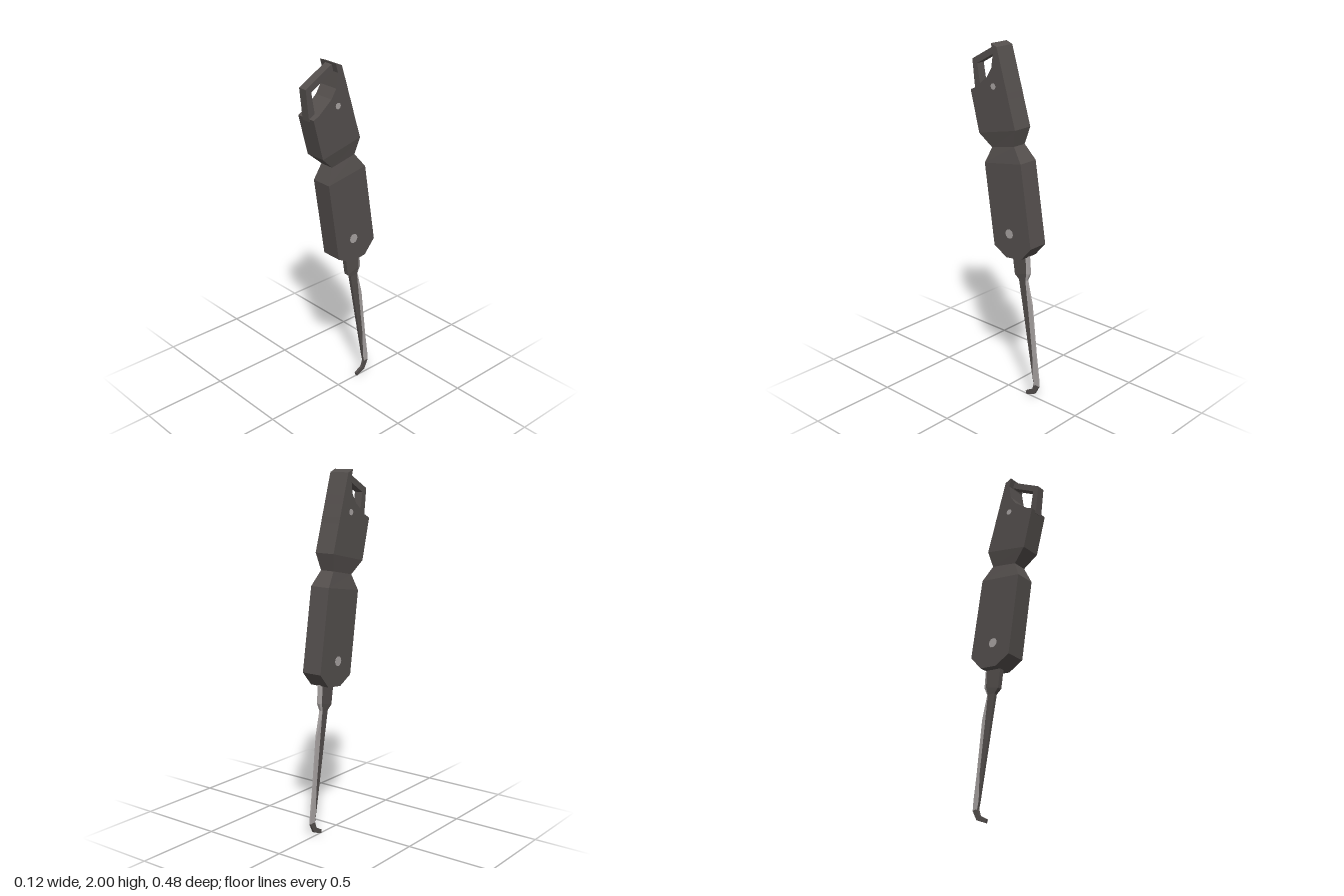
import * as THREE from 'three';

// Loft of four-sided sections, bottom to top: [frontZ, frontY, backZ, backY, frontHalfWidth, backHalfWidth]
function loft(rows) {
  const rings = rows.map(([fz, fy, bz, by, wf, wb]) => [
    [wf, fy, fz], [wb, by, bz], [-wb, by, bz], [-wf, fy, fz],
  ]);
  const pos = [];
  const quad = (a, b, c, d) => [a, b, c, a, c, d].forEach((p) => pos.push(...p));
  for (let i = 0; i < rings.length - 1; i++) {
    for (let j = 0; j < 4; j++) {
      const k = (j + 1) % 4;
      quad(rings[i][j], rings[i][k], rings[i + 1][k], rings[i + 1][j]);
    }
  }
  const [a, b, c, d] = rings[0];
  quad(d, c, b, a);
  quad(...rings[rings.length - 1]);
  const geo = new THREE.BufferGeometry();
  geo.setAttribute('position', new THREE.Float32BufferAttribute(pos, 3));
  geo.computeVertexNormals();
  return geo;
}

export function createModel() {
  const group = new THREE.Group();
  const dark = new THREE.MeshStandardMaterial({ name: 'darkGrey', color: 0x544f4d });
  const steel = new THREE.MeshStandardMaterial({ name: 'steel', color: 0xa8a3a2 });
  const add = (name, geo, mat) => {
    const mesh = new THREE.Mesh(geo, mat);
    mesh.name = name;
    group.add(mesh);
    return mesh;
  };

  // Handle with a pinched waist and a scooped upper front
  const W = 0.06, waist = 0.042;
  add('handle', loft([
    [-0.04, 0.838, -0.146, 0.85],
    [0.05, 0.886, -0.215, 0.93],
    [0.12, 1.347, -0.14, 1.39],
    [0.082, 1.437, -0.077, 1.47, waist],
    [0.16, 1.507, -0.1, 1.565],
    [0.22, 1.735, -0.052, 1.72],
    [0.18, 1.755, -0.042, 1.755],
    [0.1, 1.82, -0.021, 1.82],
    [0.068, 1.87, -0.006, 1.87],
    [0.056, 1.95, 0.019, 1.95],
    [0.07, 2.0, 0.03, 1.985],
  ].map(([fz, fy, bz, by, w = W]) => [fz, fy, bz, by, w, w])), dark);

  // Finger loop bridging the scoop
  const loop = new THREE.Shape([
    [0.22, 1.72], [0.24, 1.893], [0.055, 1.995], [0.058, 1.954], [0.204, 1.873], [0.18, 1.74],
  ].map(([z, y]) => new THREE.Vector2(-z, y)));
  const loopGeo = new THREE.ExtrudeGeometry(loop, { depth: 0.05, bevelEnabled: false });
  loopGeo.translate(0, 0, -0.025).rotateY(Math.PI / 2);
  add('loop', loopGeo, dark);

  // Blade sections: [frontZ, frontY, midZ, backZ, backY, halfWidth]; mid splits spine from ground edge
  const blade = [
    [-0.2, 0.085, -0.203, -0.236, 0.08, 0.007],
    [-0.19, 0.13, -0.193, -0.232, 0.13, 0.007],
    [-0.165, 0.27, -0.188, -0.212, 0.27, 0.008],
    [-0.111, 0.573, -0.151, -0.177, 0.573, 0.009],
    [-0.087, 0.705, -0.134, -0.142, 0.71, 0.01],
    [-0.06, 0.73, -0.144, -0.16, 0.753, 0.014],
    [-0.04, 0.87, -0.138, -0.15, 0.87, 0.015],
  ];
  add('bladeSpine', loft(blade.map(([fz, fy, mz, , by, w]) => [fz, fy, mz, by, w, w])), dark);
  add('bladeEdge', loft(blade.map(([, , mz, bz, by, w]) => [mz, by, bz, by, w, w * 0.6])), steel);

  // Hooked tip
  add('hook', loft([
    [-0.14, 0.02, -0.146, 0, 0.007, 0.007],
    [-0.188, 0.048, -0.207, 0.025, 0.007, 0.007],
    [-0.2, 0.085, -0.236, 0.08, 0.007, 0.005],
  ]), dark);

  // Rivets through the handle
  for (const [name, z, y, r] of [['lowerRivet', -0.06, 0.98, 0.027], ['upperRivet', 0.055, 1.775, 0.017]]) {
    const rivet = add(name, new THREE.CylinderGeometry(r, r, 0.123, 12), steel);
    rivet.rotation.z = Math.PI / 2;
    rivet.position.set(0, y, z);
  }
  return group;
}
